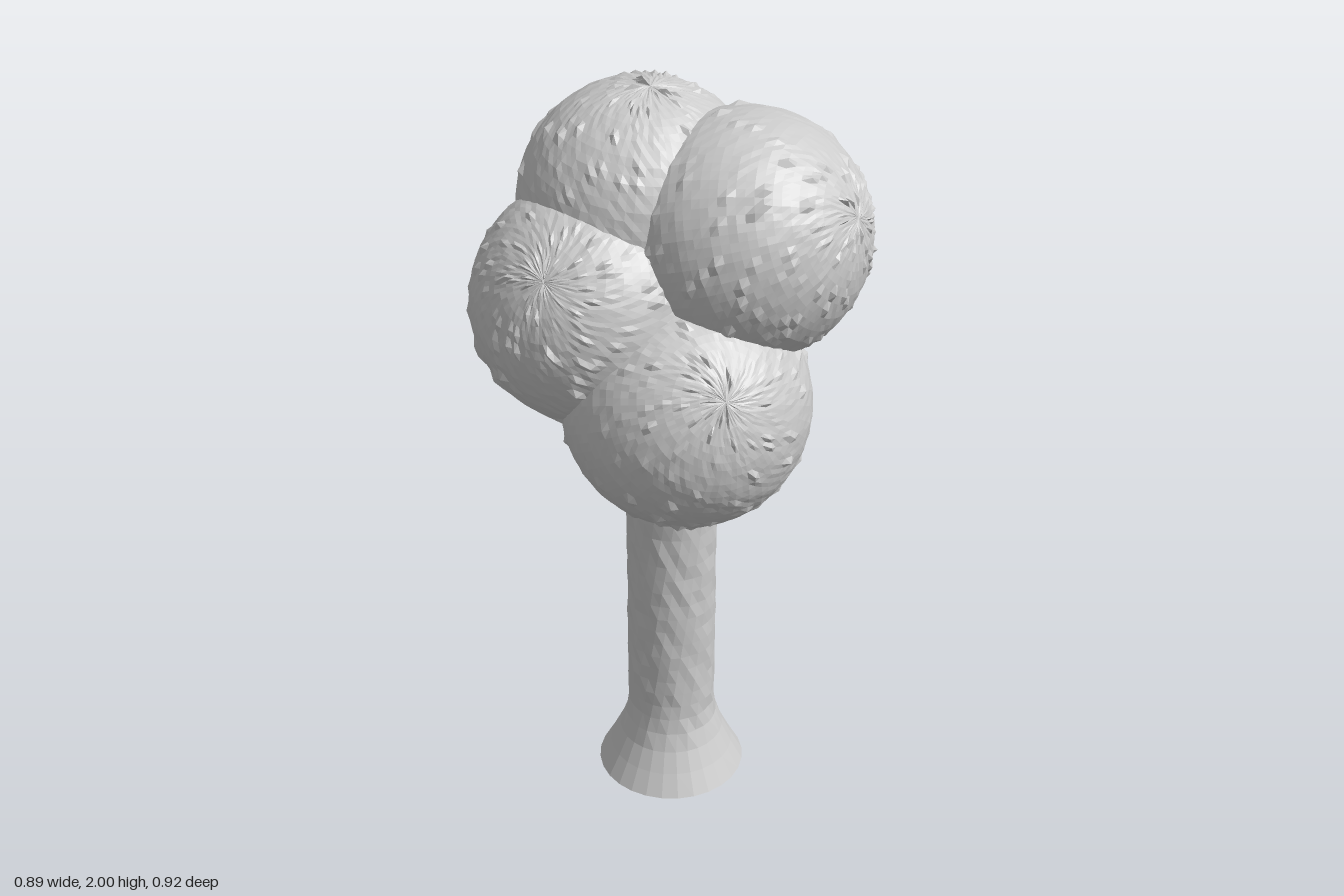
import * as THREE from 'three';
import { mergeVertices } from 'three/addons/utils/BufferGeometryUtils.js';

// Small seeded generator for the surface roughness
function seeded(seed) {
  let s = seed;
  return () => {
    s = (s * 1664525 + 1013904223) % 4294967296;
    return s / 4294967296;
  };
}

// Drop normals and uvs and join the seams, so moved vertices leave no gaps
function weld(geometry) {
  geometry.deleteAttribute('normal');
  geometry.deleteAttribute('uv');
  return mergeVertices(geometry, 1e-5);
}

// Faceted ball with a fine grain and a scatter of raised leaf flecks
function leafBall(radius, seed) {
  const geometry = weld(new THREE.SphereGeometry(radius, 84, 46));
  const random = seeded(seed);
  const pos = geometry.attributes.position;
  const v = new THREE.Vector3();
  for (let i = 0; i < pos.count; i++) {
    v.fromBufferAttribute(pos, i);
    const grain = (random() - 0.5) * 0.0025;
    const fleck = random() < 0.07 ? random() * 0.011 : 0;
    v.setLength(radius + grain + fleck);
    pos.setXYZ(i, v.x, v.y, v.z);
  }
  geometry.computeVertexNormals();
  return geometry;
}

// Round trunk with a flared foot, twisted and slightly uneven bark
function trunkGeometry() {
  const profile = [[0, 0], [0.2, 0], [0.168, 0.06], [0.142, 0.115], [0.126, 0.165]];
  for (let y = 0.21; y <= 1.26; y += 0.042) profile.push([0.118, y]);
  profile.push([0, 1.26]);
  const points = profile.map(([r, y]) => new THREE.Vector2(r, y));
  const geometry = weld(new THREE.LatheGeometry(points, 28));
  const random = seeded(11);
  const pos = geometry.attributes.position;
  const axis = new THREE.Vector3(0, 1, 0);
  const v = new THREE.Vector3();
  for (let i = 0; i < pos.count; i++) {
    v.fromBufferAttribute(pos, i);
    if (v.y > 0.14) {
      const k = 1 + (random() - 0.5) * 0.045;
      v.x *= k;
      v.z *= k;
      v.applyAxisAngle(axis, (v.y - 0.14) * 1.2);
    }
    pos.setXYZ(i, v.x, v.y, v.z);
  }
  geometry.computeVertexNormals();
  return geometry;
}

export function createModel() {
  const tree = new THREE.Group();
  tree.name = 'tree';
  const material = new THREE.MeshStandardMaterial({ color: 0xcccccc, flatShading: true });

  const trunk = new THREE.Mesh(trunkGeometry(), material);
  trunk.name = 'trunk';
  trunk.position.set(0.064, 0, -0.034);
  tree.add(trunk);

  // Overlapping leaf balls: name, centre, tilt
  const crown = new THREE.Group();
  crown.name = 'crown';
  const balls = [
    ['topFrontFoliage', [0.125, 1.66, 0.15], [1.2, 0, -0.3]],
    ['topBackFoliage', [0.03, 1.69, -0.105], [0.1, 0.5, 0]],
    ['rightBackFoliage', [-0.14, 1.49, -0.09], [0.5, 0, 0.9]],
    ['lowerFrontFoliage', [-0.068, 1.28, 0.152], [0.9, 0.3, 0.4]],
    ['lowerBackFoliage', [0.117, 1.26, -0.157], [-0.6, 0, -0.5]],
  ];
  balls.forEach(([name, centre, tilt], i) => {
    const ball = new THREE.Mesh(leafBall(0.303, 101 + i * 37), material);
    ball.name = name;
    ball.position.set(...centre);
    ball.rotation.set(...tilt);
    crown.add(ball);
  });
  tree.add(crown);

  return tree;
}
